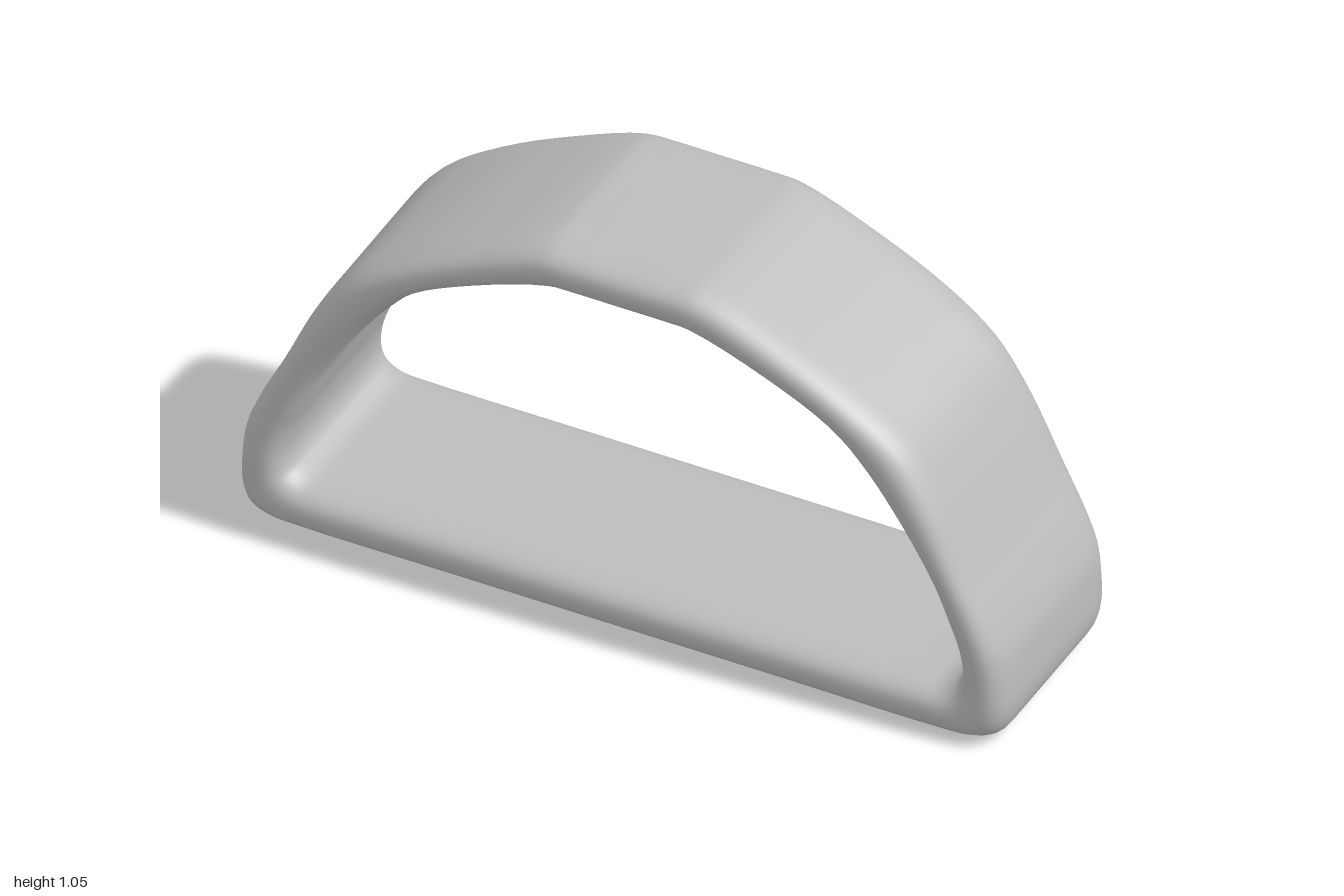
import * as THREE from 'three';

// Paired stations of the half outline: [outer x, outer y, inner x, inner y]
const HALF = [
  [0, 1.045, 0, 0.93],
  [0.13, 1.045, 0.12, 0.93],
  [0.21, 1.04, 0.18, 0.927],
  [0.40, 0.963, 0.38, 0.86],
  [0.58, 0.87, 0.54, 0.78],
  [0.72, 0.77, 0.61, 0.71],
  [0.81, 0.64, 0.69, 0.61],
  [0.90, 0.45, 0.80, 0.44],
  [0.96, 0.33, 0.845, 0.33],
  [0.99, 0.25, 0.87, 0.26],
  [1.0, 0.17, 0.88, 0.19],
  [1.0, 0.08, 0.87, 0.152],
  [0.98, 0.03, 0.85, 0.135],
  [0.93, 0.006, 0.82, 0.123],
  [0.86, 0, 0.76, 0.12],
  [0.4, 0, 0.4, 0.12],
  [0, 0, 0, 0.12],
];

// Closed smooth outline, mirrored across x = 0
function outline(ix, iy, count) {
  const right = HALF.map(p => new THREE.Vector3(p[ix], p[iy], 0));
  const left = right.slice(1, -1).reverse().map(p => new THREE.Vector3(-p.x, p.y, 0));
  const curve = new THREE.CatmullRomCurve3([...right, ...left], true, 'centripetal');
  return Array.from({ length: count }, (_, i) => curve.getPoint(i / count));
}

// Band section as [blend from inner to outer, z], with soft rounded rims
function bandSection(halfDepth, rimDepth, steps) {
  const section = [];
  const rim = (sign, from) => {
    for (let k = 0; k <= steps; k++) {
      const a = from + (k / steps) * Math.PI;
      const c = Math.abs(Math.cos(a)) ** 0.8;
      const s = Math.sin(a);
      section.push([
        0.5 + 0.5 * Math.sign(s) * Math.abs(s) ** 0.8,
        sign * (halfDepth - rimDepth + rimDepth * c),
      ]);
    }
  };
  rim(-1, -Math.PI / 2); // back rim, inner to outer
  rim(1, Math.PI / 2);   // front rim, outer to inner
  return section;
}

function bandGeometry() {
  const count = (HALF.length - 1) * 2 * 4;
  const outer = outline(0, 1, count);
  const inner = outline(2, 3, count);
  const section = bandSection(0.284, 0.1, 14);
  const n = section.length;
  const positions = [], index = [];
  for (let i = 0; i < count; i++) {
    for (const [t, z] of section) {
      const p = inner[i].clone().lerp(outer[i], t);
      positions.push(p.x, p.y, z);
    }
    for (let j = 0; j < n; j++) {
      const i2 = (i + 1) % count, j2 = (j + 1) % n;
      const a = i * n + j, b = i * n + j2, c = i2 * n + j2, d = i2 * n + j;
      index.push(a, b, d, b, c, d);
    }
  }
  const geometry = new THREE.BufferGeometry();
  geometry.setAttribute('position', new THREE.Float32BufferAttribute(positions, 3));
  geometry.setIndex(index);
  geometry.computeVertexNormals();
  return geometry;
}

export function createModel() {
  const grey = new THREE.MeshStandardMaterial({ color: 0xbcbcbc });
  grey.name = 'light grey';

  const group = new THREE.Group();
  group.name = 'archedRing';
  const band = new THREE.Mesh(bandGeometry(), grey);
  band.name = 'band';
  group.add(band);
  return group;
}
